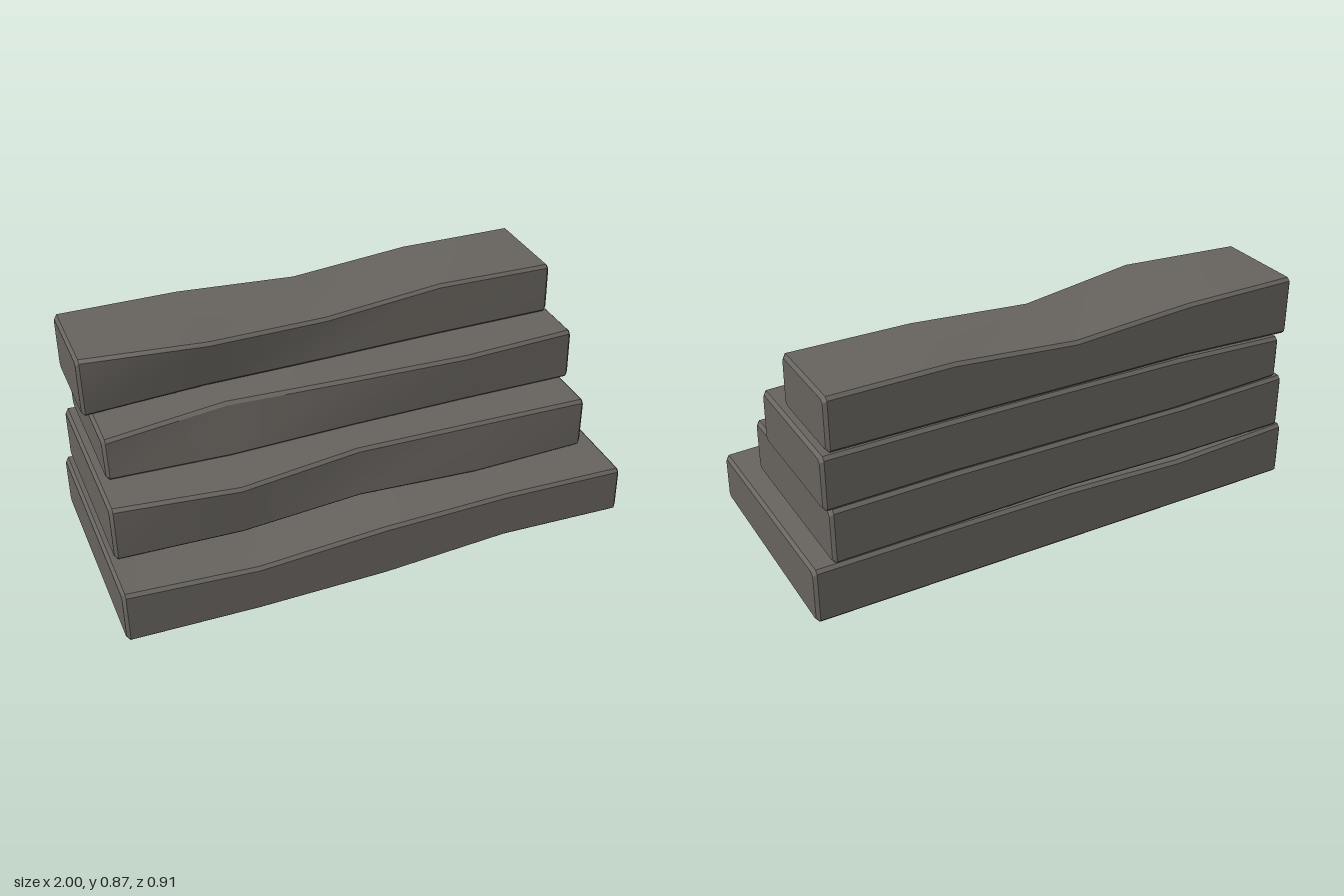
import * as THREE from 'three';
import { toCreasedNormals } from 'three/addons/utils/BufferGeometryUtils.js';

const BEVEL = 0.012;
const BACK = -0.455;

// Each slab: x range, then values at five stations along its length.
// zt / zb: front edge depth at top and bottom; tf / tb: top height at front and back;
// bf / bb: bottom height at front and back.
const SLABS = [
  { name: 'bottomStep', x: [-1, 1],
    zt: [0.44, 0.45, 0.445, 0.44, 0.44], zb: [0.445, 0.452, 0.452, 0.445, 0.445],
    tf: [0.218, 0.194, 0.22, 0.222, 0.205], tb: [0.22, 0.2, 0.22, 0.222, 0.218],
    bf: [0.008, 0.002, 0.006, 0.03, 0.01], bb: [0, 0, 0, 0, 0] },
  { name: 'secondStep', x: [-0.975, 0.925],
    zt: [0.25, 0.287, 0.228, 0.248, 0.252], zb: [0.255, 0.27, 0.25, 0.272, 0.255],
    tf: [0.448, 0.434, 0.438, 0.442, 0.433], tb: [0.445, 0.434, 0.438, 0.442, 0.436],
    bf: [0.224, 0.22, 0.236, 0.227, 0.22], bb: [0.224, 0.222, 0.234, 0.227, 0.22] },
  { name: 'thirdStep', x: [-0.94, 0.945],
    zt: [0.07, 0.036, 0.075, 0.1, 0.078], zb: [0.085, 0.088, 0.084, 0.09, 0.085],
    tf: [0.615, 0.64, 0.648, 0.65, 0.648], tb: [0.622, 0.643, 0.648, 0.65, 0.648],
    bf: [0.45, 0.435, 0.44, 0.445, 0.437], bb: [0.45, 0.435, 0.44, 0.445, 0.437] },
  { name: 'topStep', x: [-0.97, 0.92],
    zt: [-0.088, -0.033, -0.088, -0.097, -0.088], zb: [-0.083, -0.08, -0.08, -0.083, -0.083],
    tf: [0.862, 0.86, 0.828, 0.866, 0.862], tb: [0.862, 0.86, 0.828, 0.866, 0.862],
    bf: [0.628, 0.65, 0.652, 0.655, 0.655], bb: [0.63, 0.65, 0.652, 0.655, 0.655] },
];

// Chamfered four-corner section at station i, shrunk by inset
function section(s, i, x, inset) {
  const c = BEVEL, k = inset;
  const zt = s.zt[i] - k, zb = s.zb[i] - k, zr = BACK + k;
  const tf = s.tf[i] - k, tb = s.tb[i] - k, bf = s.bf[i] + k, bb = s.bb[i] + k;
  return [
    [x, bf, zb - c], [x, bf + c, zb], [x, tf - c, zt], [x, tf, zt - c],
    [x, tb, zr + c], [x, tb - c, zr], [x, bb + c, zr], [x, bb, zr + c],
  ];
}

// Loft the sections along x and close both ends
function slabGeometry(s) {
  const [x0, x1] = s.x;
  const rings = [section(s, 0, x0, BEVEL)];
  for (let i = 0; i < 5; i++) {
    const shift = i === 0 ? BEVEL : i === 4 ? -BEVEL : 0;
    rings.push(section(s, i, x0 + (x1 - x0) * i / 4 + shift, 0));
  }
  rings.push(section(s, 4, x1, BEVEL));

  const index = [], n = 8, last = (rings.length - 1) * n;
  for (let r = 0; r < rings.length - 1; r++) {
    for (let j = 0; j < n; j++) {
      const a = r * n + j, b = r * n + (j + 1) % n;
      index.push(a, a + n, b + n, a, b + n, b);
    }
  }
  for (let j = 1; j < n - 1; j++) {
    index.push(0, j, j + 1, last, last + j + 1, last + j);
  }
  const geo = new THREE.BufferGeometry();
  geo.setAttribute('position', new THREE.Float32BufferAttribute(rings.flat(2), 3));
  geo.setIndex(index);
  return toCreasedNormals(geo, 0.5);
}

export function createModel() {
  const group = new THREE.Group();
  group.name = 'stoneSteps';
  const stone = new THREE.MeshStandardMaterial({ color: 0x66625d });
  stone.name = 'darkStone';
  for (const s of SLABS) {
    const mesh = new THREE.Mesh(slabGeometry(s), stone);
    mesh.name = s.name;
    group.add(mesh);
  }
  return group;
}
